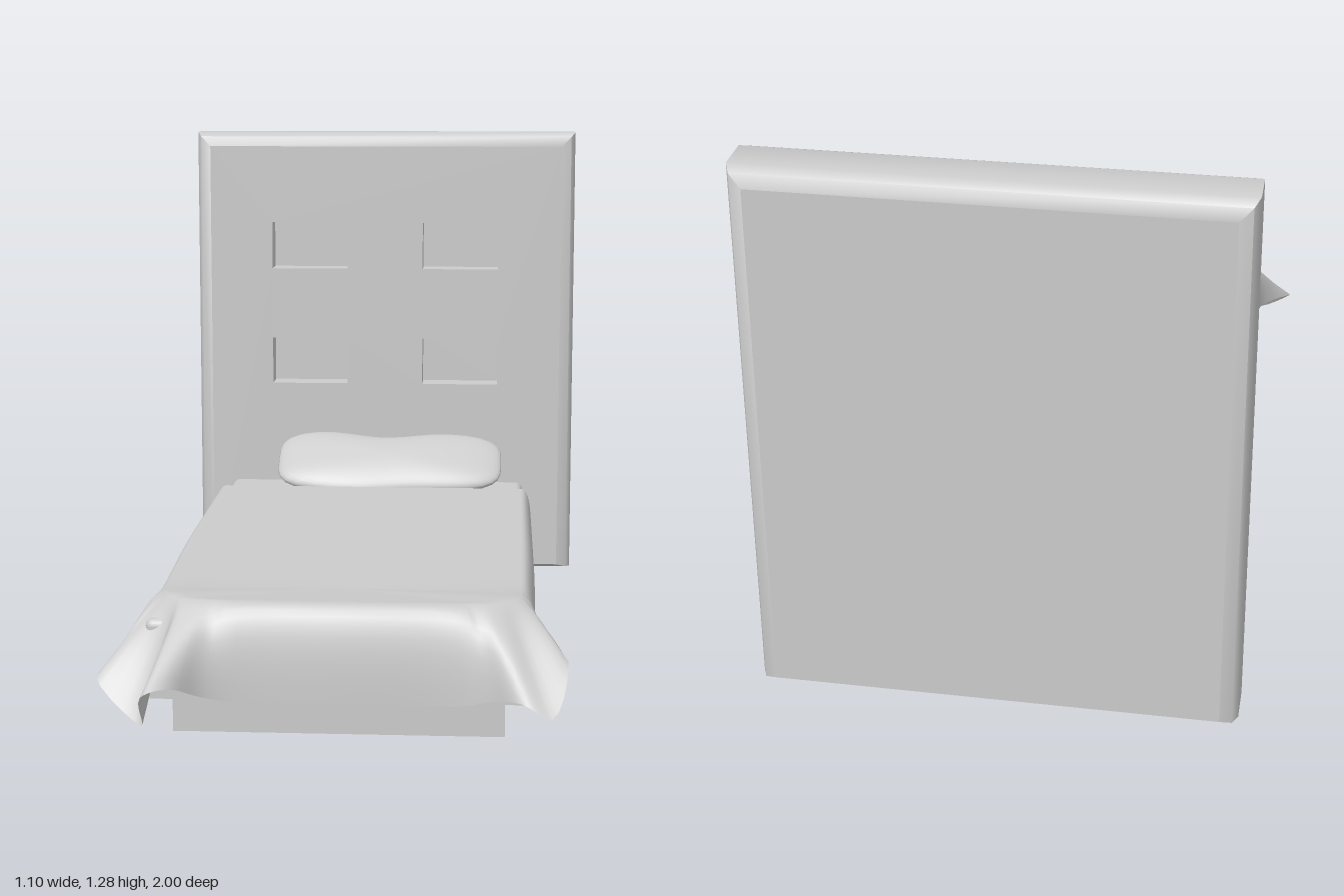
import * as THREE from 'three';
import { toCreasedNormals } from 'three/addons/utils/BufferGeometryUtils.js';
import { RoundedBoxGeometry } from 'three/addons/geometries/RoundedBoxGeometry.js';

const grey = new THREE.MeshStandardMaterial({ color: 0xcccccc });
const thin = new THREE.MeshStandardMaterial({ color: 0xcccccc, side: THREE.DoubleSide });
const inside = new THREE.MeshStandardMaterial({ color: 0xcccccc, side: THREE.BackSide });

function add(parent, name, geometry, material = grey) {
  const mesh = new THREE.Mesh(geometry, material);
  mesh.name = name;
  parent.add(mesh);
  return mesh;
}

// Box given by its lower and upper corners
function boxBetween(parent, name, [x0, y0, z0], [x1, y1, z1], radius = 0) {
  const size = [x1 - x0, y1 - y0, z1 - z0];
  const geo = radius ? new RoundedBoxGeometry(...size, 3, radius) : new THREE.BoxGeometry(...size);
  add(parent, name, geo).position.set((x0 + x1) / 2, (y0 + y1) / 2, (z0 + z1) / 2);
}

// Grid of vertices joined into quads; rows[i][j] is a Vector3
function gridGeometry(rows) {
  const n = rows[0].length, index = [];
  for (let i = 0; i < rows.length - 1; i++) {
    for (let j = 0; j < n - 1; j++) {
      const a = i * n + j, b = a + 1, c = a + n + 1, d = a + n;
      index.push(a, b, c, a, c, d);
    }
  }
  const geo = new THREE.BufferGeometry().setFromPoints(rows.flat());
  geo.setIndex(index);
  geo.computeVertexNormals();
  return geo;
}

// Rectangle of the headboard, shrunk by an inset (less at the floor)
const outline = (inset) => {
  const w = 0.55 - inset, b = inset * 0.3, t = 1.285 - inset;
  return [[-w, b], [w, b], [w, t], [-w, t]];
};
const rectShape = (pts) => new THREE.Shape(pts.map((p) => new THREE.Vector2(...p)));

function makeHeadboard() {
  const group = new THREE.Group();
  group.name = 'headboard';

  // Bevelled rim, lofted from back to front
  const profile = [[0.04, -1], [0.012, -0.988], [0, -0.96], [0, -0.87], [0.012, -0.842], [0.04, -0.83]];
  const rings = profile.map(([inset, z]) => {
    const pts = outline(inset).map(([x, y]) => new THREE.Vector3(x, y, z));
    return [...pts, pts[0].clone()];
  });
  add(group, 'headboardRim', toCreasedNormals(gridGeometry(rings), 0.9));

  const back = new THREE.ShapeGeometry(rectShape(outline(0.04).map(([x, y]) => [-x, y]).reverse()));
  back.rotateY(Math.PI);
  add(group, 'headboardBack', back).position.z = -1;

  // Front panel with four recessed niches
  const front = rectShape(outline(0.04));
  const w = 0.22, h = 0.135, depth = 0.08;
  for (const x of [-0.22, 0.22]) {
    for (const y of [0.618, 0.957]) {
      front.holes.push(new THREE.Path([[-1, -1], [-1, 1], [1, 1], [1, -1]]
        .map(([sx, sy]) => new THREE.Vector2(x + sx * w / 2, y + sy * h / 2))));
      const niche = new THREE.BoxGeometry(w, h, depth);
      const idx = Array.from(niche.index.array);
      idx.splice(24, 6); // leave the front open
      niche.setIndex(idx);
      // the walls face inwards
      add(group, 'niche', niche, inside).position.set(x, y, -0.83 - depth / 2);
    }
  }
  add(group, 'headboardFront', new THREE.ShapeGeometry(front)).position.z = -0.83;
  return group;
}

// Blanket: flat top, draped sides, corners flaring out at the foot
function makeBlanket() {
  // hem x, y, z, shoulder x, z, flare
  const columns = [
    [-0.472, 0.17, -0.58, -0.44, -0.58, 0],
    [-0.472, 0.17, 0.1, -0.435, 0.1, 0],
    [-0.465, 0.17, 0.7, -0.42, 0.62, 0],
    [-0.5, 0.16, 0.78, -0.41, 0.7, 0.4],
    [-0.547, 0.145, 0.85, -0.4, 0.74, 1],
    [-0.435, 0.06, 0.93, -0.38, 0.77, 0.9],
    [-0.425, 0.145, 1.0, -0.36, 0.78, 1],
    [-0.375, 0.155, 0.97, -0.33, 0.785, 0.9],
    [-0.31, 0.115, 0.89, -0.28, 0.79, 0.5],
    [-0.24, 0.095, 0.86, -0.22, 0.79, 0.1],
    [0, 0.095, 0.855, 0, 0.79, 0],
    [0.26, 0.095, 0.86, 0.22, 0.79, 0.1],
    [0.32, 0.115, 0.89, 0.28, 0.79, 0.5],
    [0.39, 0.135, 0.965, 0.33, 0.78, 0.9],
    [0.455, 0.11, 0.985, 0.36, 0.76, 1],
    [0.49, 0.205, 0.87, 0.38, 0.73, 0.9],
    [0.45, 0.18, 0.78, 0.39, 0.69, 0.4],
    [0.43, 0.17, 0.7, 0.39, 0.62, 0],
    [0.43, 0.17, 0.1, 0.395, 0.1, 0],
    [0.43, 0.17, -0.58, 0.4, -0.58, 0],
  ];
  const hem = new THREE.CatmullRomCurve3(columns.map(([x, y, z]) => new THREE.Vector3(x, y, z)));
  const shoulder = new THREE.CatmullRomCurve3(columns.map((c) => new THREE.Vector3(c[3], c[5], c[4])));
  const steps = (columns.length - 1) * 5, rows = [];
  for (let i = 0; i <= steps; i++) {
    const H = hem.getPoint(i / steps), S = shoulder.getPoint(i / steps);
    const flare = S.y;
    S.y = 0.29 + 0.017 * THREE.MathUtils.smoothstep(S.z, 0.55, 0.75);
    const spine = new THREE.Vector3(-0.02, 0.29, Math.min(S.z, 0.6));
    const bend = new THREE.Vector3(H.x, S.y, H.z).lerp(S.clone().lerp(H, 0.5), flare);
    const drape = new THREE.QuadraticBezierCurve3(S, bend, H).getPoints(9);
    rows.push([spine, spine.clone().lerp(S, 0.5), spine.clone().lerp(S, 0.9), ...drape]);
  }
  return gridGeometry(rows);
}

// Pillow: squared-off cushion with a waist along its upper edge
function makePillow() {
  const geo = new THREE.SphereGeometry(1, 48, 24);
  const pos = geo.attributes.position;
  for (let i = 0; i < pos.count; i++) {
    const x = pos.getX(i), y = pos.getY(i), z = pos.getZ(i);
    const k = Math.hypot(x, z) / (Math.pow(x ** 4 + z ** 4, 0.25) || 1);
    const X = x * k * 0.322;
    let Z = z * k * 0.118;
    if (z < 0) Z *= 1.02 - 0.08 * x - 0.24 * Math.exp(-(((X + 0.02) / 0.12) ** 2));
    else Z *= 1 + 0.1 * Math.exp(-(((X + 0.1) / 0.12) ** 2));
    pos.setXYZ(i, X, y * 0.042, Z);
  }
  geo.computeVertexNormals();
  return geo;
}

export function createModel() {
  const bed = new THREE.Group();
  bed.name = 'bed';
  bed.add(makeHeadboard());

  // Base and mattress
  boxBetween(bed, 'plinth', [-0.39, 0, -0.83], [0.355, 0.096, 0.775]);
  boxBetween(bed, 'bedFrame', [-0.43, 0.096, -0.83], [0.41, 0.156, 0.845]);
  boxBetween(bed, 'mattress', [-0.447, 0.165, -0.825], [0.405, 0.263, 0.8], 0.018);

  // Bedding
  add(bed, 'blanket', makeBlanket(), thin);
  const pillow = add(bed, 'pillow', makePillow());
  pillow.position.set(0.022, 0.342, -0.692);
  pillow.rotation.x = 0.58;
  return bed;
}
